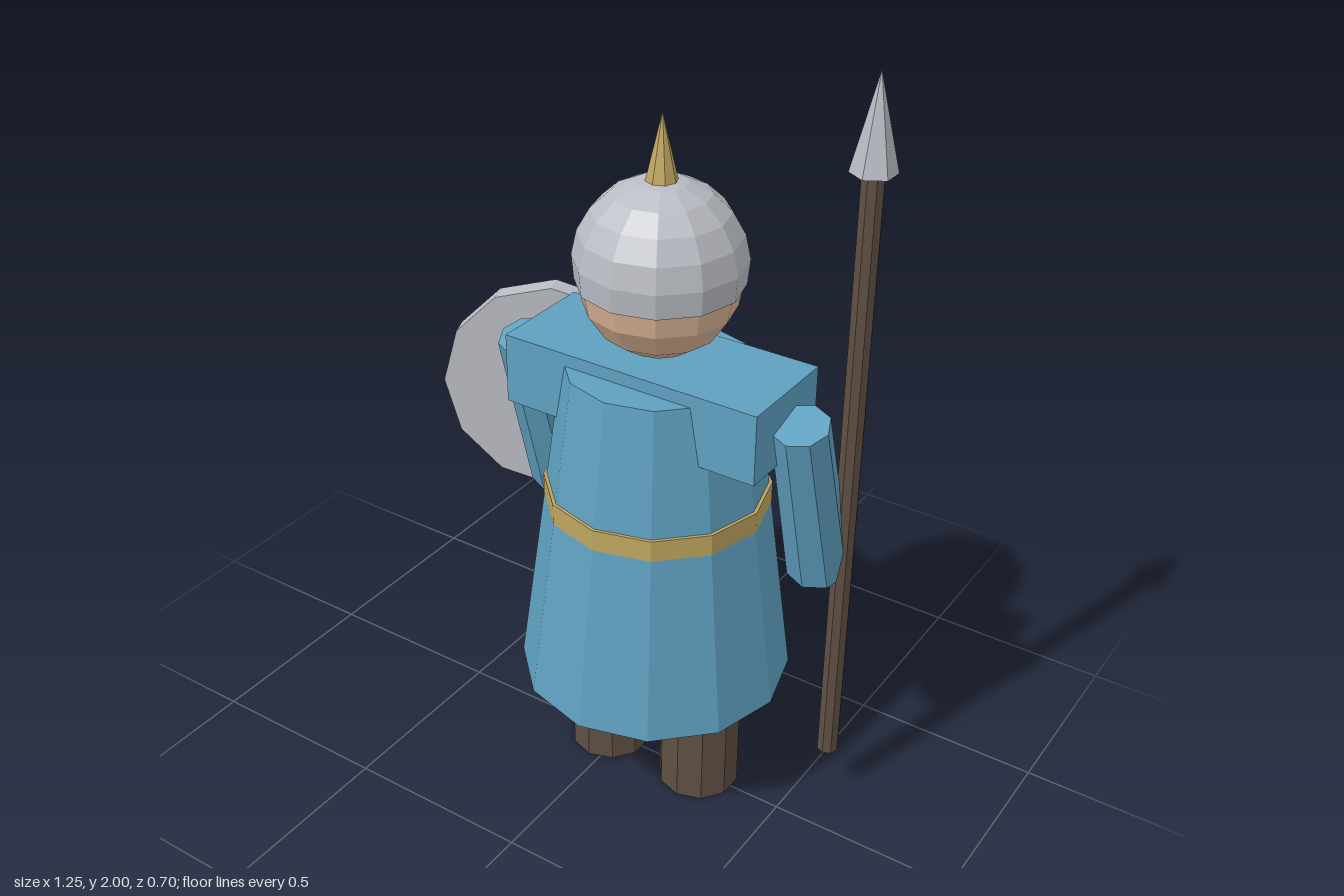
import * as THREE from 'three';

const paint = (name, color) => Object.assign(new THREE.MeshStandardMaterial({ color }), { name });

export function createModel() {
  const cloth = paint('blue cloth', 0x5fa0c0);
  const gold = paint('gold', 0xbfa660);
  const metal = paint('steel', 0xb9bcc3);
  const skin = paint('skin', 0xd9b394);
  const wood = paint('dark brown', 0x5f4f43);

  const model = new THREE.Group();
  model.name = 'guard';

  // Faceted mesh with one normal per face
  function add(parent, name, geometry, material, x, y, z) {
    const flat = geometry.index ? geometry.toNonIndexed() : geometry;
    flat.computeVertexNormals();
    const mesh = new THREE.Mesh(flat, material);
    mesh.name = name;
    mesh.position.set(x, y, z);
    parent.add(mesh);
    return mesh;
  }
  // Upright cylinder or cone between two heights
  const column = (parent, name, material, rTop, rBottom, y0, y1, sides, x, z) =>
    add(parent, name, new THREE.CylinderGeometry(rTop, rBottom, y1 - y0, sides), material, x, (y0 + y1) / 2, z);

  // Body, placed on its own axis beside the centre line
  const body = new THREE.Group();
  body.name = 'body';
  body.position.x = 0.112;
  model.add(body);

  column(body, 'robe', cloth, 0.234, 0.352, 0.34, 1.22, 12, 0, 0);
  column(body, 'belt', gold, 0.286, 0.286, 0.838, 0.895, 12, 0, 0);
  add(body, 'shoulders', new THREE.BoxGeometry(0.705, 0.183, 0.285), cloth, 0, 1.162, 0);

  // Legs and backward-swung arms
  for (const side of [-1, 1]) {
    const label = side > 0 ? 'left' : 'right';
    column(body, label + 'Leg', wood, 0.107, 0.107, 0, 0.36, 10, side * 0.143, 0);
    const arm = column(body, label + 'Arm', cloth, 0.072, 0.08, 0.7, 1.19, 8, side * 0.394, -0.06);
    arm.rotation.x = 0.285;
  }

  // Head, helmet and spike
  add(body, 'head', new THREE.SphereGeometry(0.2, 12, 8), skin, 0, 1.457, 0);
  add(body, 'helmet', new THREE.SphereGeometry(0.209, 12, 6, 0, Math.PI * 2, 0, Math.PI * 0.577),
    metal, 0, 1.487, 0);
  column(body, 'helmetSpike', gold, 0, 0.04, 1.685, 1.852, 8, 0, 0);

  // Spear
  const spear = new THREE.Group();
  spear.name = 'spear';
  spear.position.set(0.573, 0, -0.128);
  model.add(spear);
  column(spear, 'spearShaft', wood, 0.028, 0.028, 0.152, 1.78, 8, 0, 0);
  column(spear, 'spearTip', metal, 0, 0.055, 1.77, 2, 6, 0, 0);

  // Round shield behind the right arm; its local +y points outward
  const shield = new THREE.Group();
  shield.name = 'shield';
  shield.position.set(-0.338, 0.929, -0.187);
  shield.rotation.set(-Math.PI / 2, 0, 0);
  const turn = new THREE.Group();
  turn.name = 'shieldMount';
  turn.rotation.z = -0.396;
  shield.add(turn);
  model.add(shield);
  column(turn, 'shieldDisc', metal, 0.302, 0.302, -0.028, 0.028, 12, 0, 0);
  column(turn, 'shieldBoss', gold, 0.096, 0.096, 0.02, 0.073, 8, -0.015, 0);

  // Turn the mount about the vertical so the disc faces back and outward
  shield.rotation.set(0, 0.396, 0);
  turn.rotation.set(-Math.PI / 2, 0, 0);

  return model;
}
